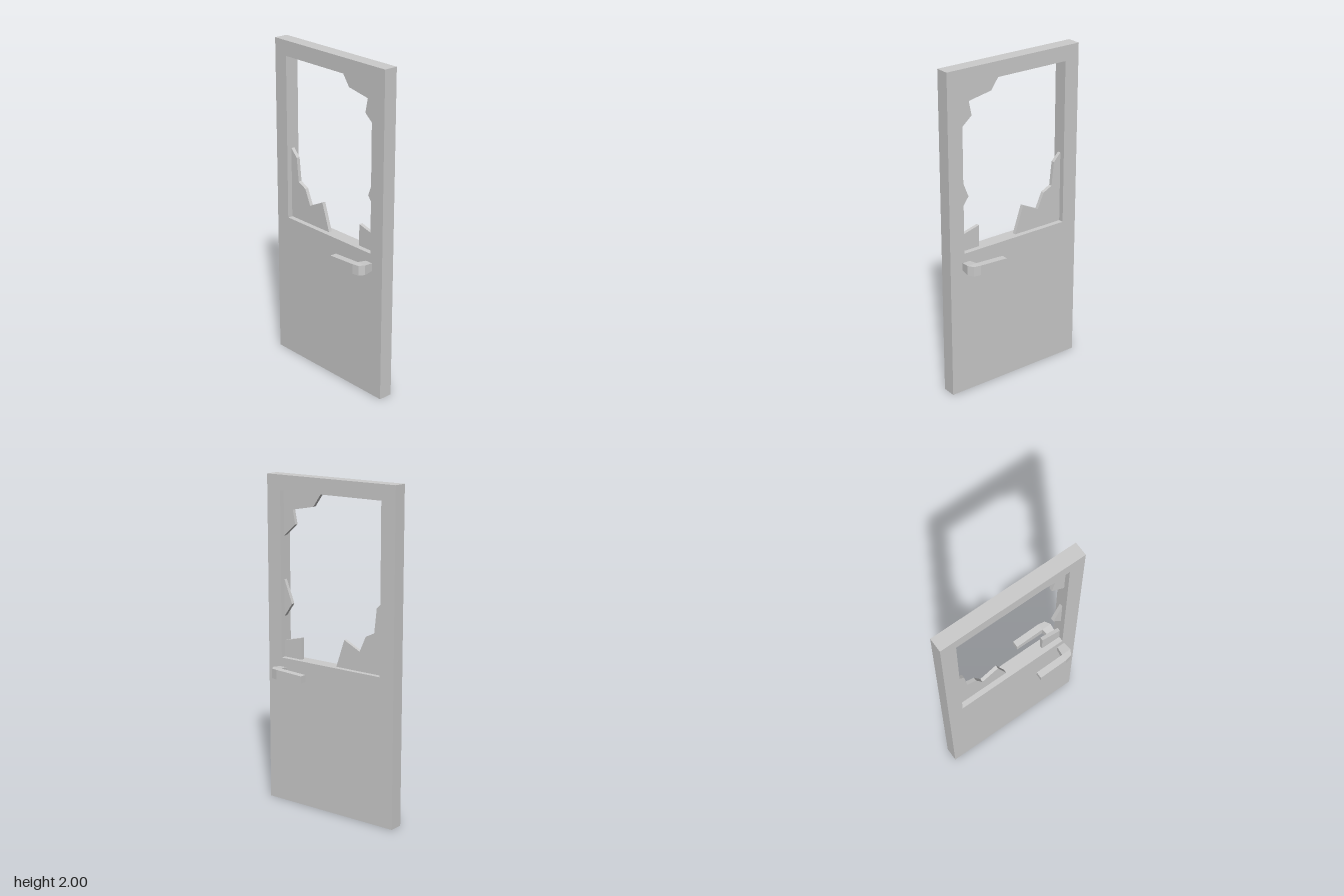
import * as THREE from 'three';

const material = new THREE.MeshStandardMaterial({ color: 0xcccccc, flatShading: true });

// Window opening in the door leaf
const L = -0.364, R = 0.362, B = 0.903, T = 1.908;

const toPoints = (pts) => pts.map(([x, y]) => new THREE.Vector2(x, y));

// Flat slab cut from an outline, centred on z = 0
function slab(name, outline, depth, hole) {
  const shape = new THREE.Shape(toPoints(outline));
  if (hole) shape.holes.push(new THREE.Path(toPoints(hole)));
  const geometry = new THREE.ExtrudeGeometry(shape, { depth, bevelEnabled: false });
  geometry.translate(0, 0, -depth / 2);
  const mesh = new THREE.Mesh(geometry, material);
  mesh.name = name;
  return mesh;
}

// Lever handle swept through rectangular sections; side is +1 for front, -1 for back
function handle(name, side) {
  // inner x, inner z, outer x, outer z, half height
  const sections = [
    [0.133, 0.1, 0.133, 0.142, 0.021],
    [0.32, 0.1, 0.32, 0.142, 0.03],
    [0.32, 0.1, 0.362, 0.134, 0.03],
    [0.32, 0.1, 0.382, 0.1, 0.03],
    [0.327, 0.042, 0.376, 0.042, 0.024],
  ];
  const y = 0.824;
  const positions = [], index = [];
  for (const [ix, iz, ox, oz, h] of sections) {
    positions.push(ix, y - h, iz * side, ox, y - h, oz * side);
    positions.push(ox, y + h, oz * side, ix, y + h, iz * side);
  }
  const quad = (a, b, c, d) => {
    if (side > 0) index.push(a, b, c, a, c, d);
    else index.push(a, c, b, a, d, c);
  };
  const last = (sections.length - 1) * 4;
  for (let s = 0; s < last; s += 4) {
    for (let k = 0; k < 4; k++) {
      const n = (k + 1) % 4;
      quad(s + k, s + 4 + k, s + 4 + n, s + n);
    }
  }
  quad(0, 1, 2, 3);
  quad(last + 3, last + 2, last + 1, last);
  const geometry = new THREE.BufferGeometry();
  geometry.setAttribute('position', new THREE.Float32BufferAttribute(positions, 3));
  geometry.setIndex(index);
  const flat = geometry.toNonIndexed();
  flat.computeVertexNormals();
  const mesh = new THREE.Mesh(flat, material);
  mesh.name = name;
  return mesh;
}

export function createModel() {
  const door = new THREE.Group();
  door.name = 'brokenDoor';

  // Door leaf with window opening
  door.add(slab('doorLeaf',
    [[-0.46, 0], [0.46, 0], [0.46, 2], [-0.46, 2]], 0.086,
    [[L, B], [L, T], [R, T], [R, B]]));

  // Jagged glass left around the opening
  const shards = {
    glassTopLeft: [[0.083, T], [0.141, 1.827], [0.294, 1.798], [0.276, 1.711], [R, 1.639], [R, T]],
    glassMiddleLeft: [[R, 1.377], [0.305, 1.234], [R, 1.155]],
    glassBottomLeft: [[0.234, B], [R, B], [R, 1.004], [0.234, 1.036]],
    glassBottomRight: [[L, B], [-0.028, B], [-0.086, 1.073], [-0.197, 1.02],
      [-0.24, 1.115], [-0.3, 1.144], [-0.316, 1.29], [L, 1.34]],
  };
  for (const [name, outline] of Object.entries(shards)) door.add(slab(name, outline, 0.022));

  // Lever handles on both faces
  door.add(handle('frontHandle', 1), handle('backHandle', -1));
  return door;
}
